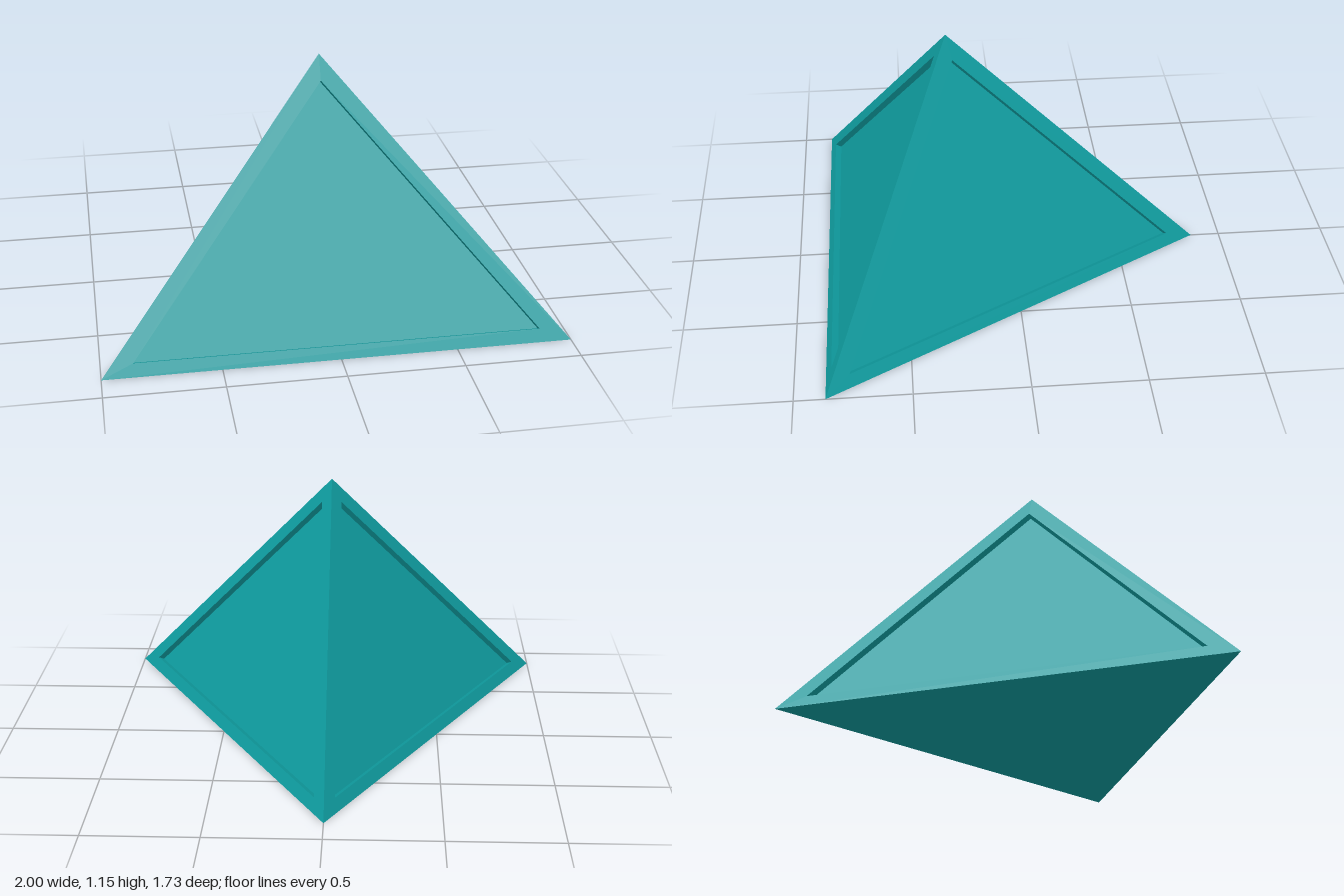
import * as THREE from 'three';

const INSET = 0.866; // panel outline relative to its face
const DEPTH = 0.03;  // how far each panel is sunk

// Flat-shaded mesh from triangles and quads given as corner lists
function facetMesh(name, faces, material) {
  const points = [];
  for (const f of faces) {
    for (let i = 1; i < f.length - 1; i++) points.push(f[0], f[i], f[i + 1]);
  }
  const geometry = new THREE.BufferGeometry().setFromPoints(points);
  geometry.computeVertexNormals();
  const mesh = new THREE.Mesh(geometry, material);
  mesh.name = name;
  return mesh;
}

// Side face: flat border, recess walls and sunken panel
function recessedFace(name, corners, material) {
  const triangle = new THREE.Triangle(...corners);
  const centre = triangle.getMidpoint(new THREE.Vector3());
  const normal = triangle.getNormal(new THREE.Vector3());
  const rim = corners.map((p) => centre.clone().lerp(p, INSET));
  const floor = rim.map((p) => p.clone().addScaledVector(normal, -DEPTH));

  const border = [], walls = [];
  for (let i = 0; i < 3; i++) {
    const j = (i + 1) % 3;
    border.push([corners[i], corners[j], rim[j], rim[i]]);
    walls.push([rim[i], rim[j], floor[j], floor[i]]);
  }
  const group = new THREE.Group();
  group.name = name;
  group.add(
    facetMesh('border', border, material),
    facetMesh('recessWalls', walls, material),
    facetMesh('sunkenPanel', [floor], material)
  );
  return group;
}

export function createModel() {
  const material = new THREE.MeshStandardMaterial({ color: 0x0f9da0 });
  const apex = new THREE.Vector3(0, 1.1547, 0.2887);
  const left = new THREE.Vector3(1, 0, 0.866);
  const right = new THREE.Vector3(-1, 0, 0.866);
  const back = new THREE.Vector3(0, 0, -0.866);

  const model = new THREE.Group();
  model.name = 'triangularPyramid';
  model.add(
    recessedFace('frontFace', [right, left, apex], material),
    recessedFace('leftFace', [left, back, apex], material),
    recessedFace('rightFace', [back, right, apex], material),
    facetMesh('base', [[left, right, back]], material)
  );
  return model;
}
